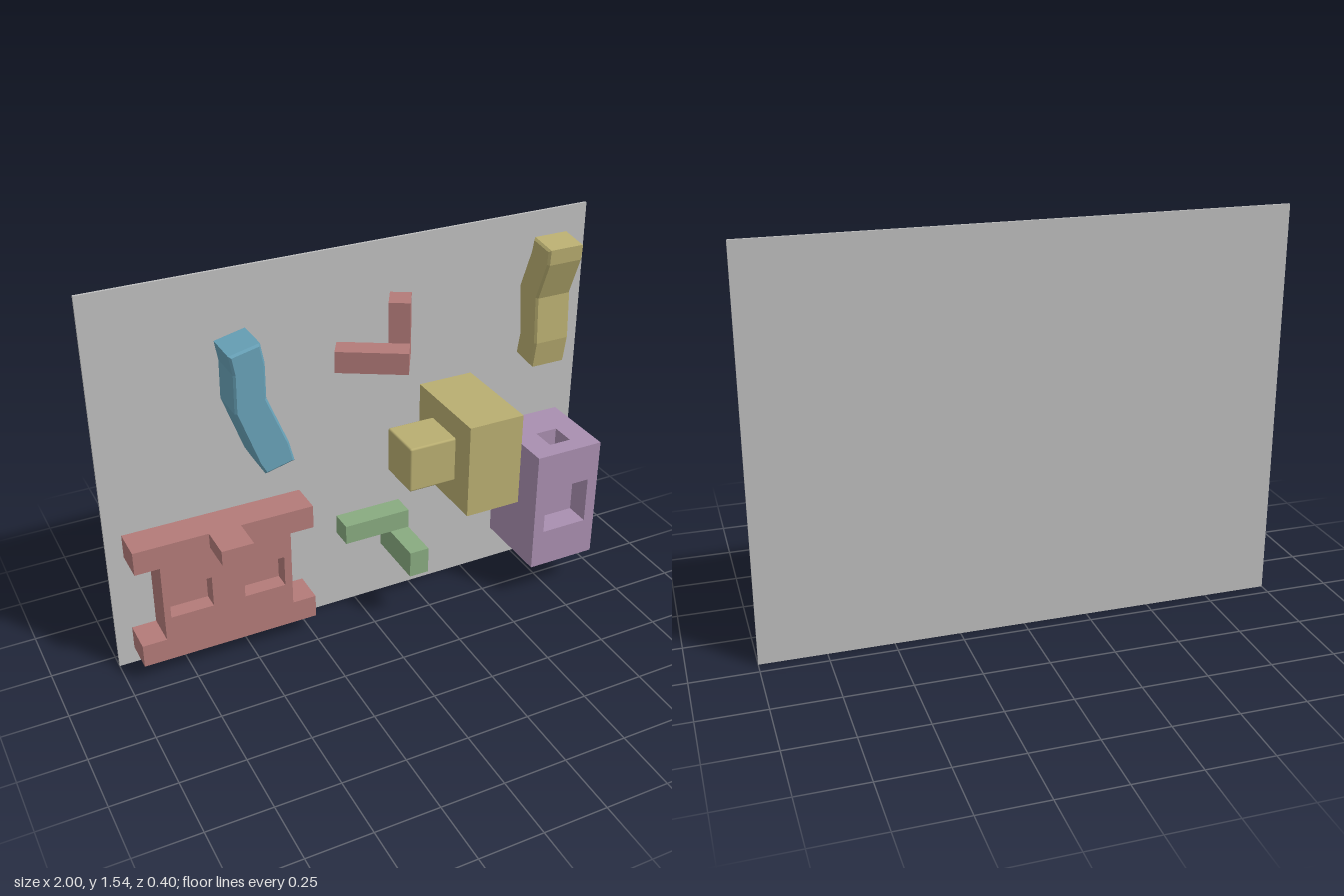
import * as THREE from 'three';
import { RoundedBoxGeometry } from 'three/addons/geometries/RoundedBoxGeometry.js';

const BACK = -0.19; // front face of the backing board

const paint = (name, color) => {
  const m = new THREE.MeshStandardMaterial({ color });
  m.name = name;
  return m;
};

function add(parent, name, geometry, material) {
  const mesh = new THREE.Mesh(geometry, material);
  mesh.name = name;
  parent.add(mesh);
  return mesh;
}

// box from min / max corners, optionally with softened edges
function box(x0, x1, y0, y1, z0, z1, radius = 0) {
  const s = [x1 - x0, y1 - y0, z1 - z0];
  const g = radius ? new RoundedBoxGeometry(...s, 2, radius) : new THREE.BoxGeometry(...s);
  return g.translate((x0 + x1) / 2, (y0 + y1) / 2, (z0 + z1) / 2);
}

const points = (pts) => pts.map(([x, y]) => new THREE.Vector2(x, y));
const rect = (x0, x1, y0, y1) => points([[x0, y0], [x1, y0], [x1, y1], [x0, y1]]);

// flat outline with holes, extruded from z0 to z1
function slab(outline, holes, z0, z1) {
  const shape = new THREE.Shape(outline);
  holes.forEach((h) => shape.holes.push(new THREE.Path(h)));
  return new THREE.ExtrudeGeometry(shape, { depth: z1 - z0, bevelEnabled: false }).translate(0, 0, z0);
}

// bent bar with slightly chamfered rims, depth along local z starting at 0
function bentBar(pts, depth) {
  const b = 0.008;
  return new THREE.ExtrudeGeometry(new THREE.Shape(points(pts)), {
    depth: depth - 2 * b, bevelEnabled: true, bevelSize: b, bevelThickness: b, bevelOffset: -b, bevelSegments: 1,
  }).translate(0, 0, b);
}

export function createModel() {
  const model = new THREE.Group();
  model.name = 'wallOfHolds';
  const grey = paint('boardGrey', 0xbebebe);
  const red = paint('dustyRed', 0xb37b79);
  const yellow = paint('mutedYellow', 0xb9ae71);
  const blue = paint('softBlue', 0x68a2b8);
  const green = paint('softGreen', 0x88ab80);
  const purple = paint('softPurple', 0xa98fb0);

  add(model, 'backingBoard', box(-1, 1, 0, 1.54, -0.2, BACK), grey);

  // red flanged panel with two blind pockets and a tab on the top
  const panel = new THREE.Group();
  panel.name = 'flangedPanel';
  const outline = points([
    [-0.935, 0.07], [-0.23, 0.07], [-0.23, 0.165], [-0.325, 0.165], [-0.325, 0.49], [-0.23, 0.49],
    [-0.23, 0.585], [-0.935, 0.585], [-0.935, 0.49], [-0.84, 0.49], [-0.84, 0.165], [-0.935, 0.165],
  ]);
  const pockets = [rect(-0.815, -0.647, 0.26, 0.39), rect(-0.52, -0.355, 0.26, 0.39)];
  add(panel, 'panelBack', slab(outline, [], BACK, -0.125), red);
  add(panel, 'panelFront', slab(outline, pockets, -0.125, -0.06), red);
  add(panel, 'panelTab', box(-0.645, -0.52, 0.525, 0.585, -0.06, 0.07), red);
  model.add(panel);

  // purple block with blind pockets in the front, top and bottom
  const block = new THREE.Group();
  block.name = 'pocketBlock';
  const [x0, x1, front] = [0.643, 0.93, 0.137];
  add(block, 'blockCore', box(x0, x1, 0.25, 0.565, BACK, 0.037), purple);
  add(block, 'blockFace',
    slab(rect(x0, x1, 0.25, 0.565), [rect(0.69, 0.885, 0.31, 0.505)], 0.037, front), purple);
  for (const [name, y] of [['blockTop', 0.565], ['blockBottom', 0.15]]) {
    const cap = slab(rect(x0, x1, -front, -BACK), [rect(0.74, 0.833, -0.065, 0.035)], 0, 0.1);
    add(block, name, cap.rotateX(-Math.PI / 2).translate(0, y, 0), purple);
  }
  model.add(block);

  // yellow pair of boxes, the small one held clear of the board
  add(model, 'largeBox', box(0.29, 0.515, 0.54, 0.92, BACK, 0.2), yellow);
  add(model, 'sideBox', box(0.1, 0.3, 0.64, 0.825, -0.09, 0.095, 0.008), yellow);

  // green bar with a leg reaching forward
  add(model, 'greenBar', box(-0.075, 0.2, 0.34, 0.42, BACK, -0.1), green);
  add(model, 'greenLeg', box(0.12, 0.2, 0.23, 0.34, BACK, 0.07), green);

  // red bracket turned away from the board
  const bracket = new THREE.Group();
  bracket.name = 'turnedBracket';
  add(bracket, 'bracketArm', box(0, 0.27, 1.09, 1.175, -0.085, 0), red);
  add(bracket, 'bracketUpright', box(0.19, 0.27, 1.09, 1.335, -0.185, -0.085), red);
  bracket.position.set(-0.103, 0, -0.12);
  bracket.rotation.y = -Math.PI / 6;
  model.add(bracket);

  // blue bent bar, bending sideways
  const blueBar = bentBar([
    [-0.42, 0.79], [-0.305, 0.818], [-0.325, 0.9], [-0.403, 1.096], [-0.403, 1.235], [-0.417, 1.312],
    [-0.535, 1.285], [-0.522, 1.21], [-0.524, 1.059], [-0.444, 0.834],
  ], 0.155);
  add(model, 'blueBentBar', blueBar.translate(0, 0, BACK), blue);

  // yellow bent bar, bending forward (profile is z, y)
  const yellowBar = bentBar([
    [-0.183, 0.967], [-0.163, 1.07], [-0.184, 1.26], [-0.12, 1.42], [-0.108, 1.475],
    [0.004, 1.46], [0, 1.4], [-0.06, 1.245], [-0.05, 1.06], [-0.068, 0.953],
  ], 0.152);
  add(model, 'yellowBentBar', yellowBar.rotateY(-Math.PI / 2).translate(0.866, 0, 0), yellow);

  return model;
}
